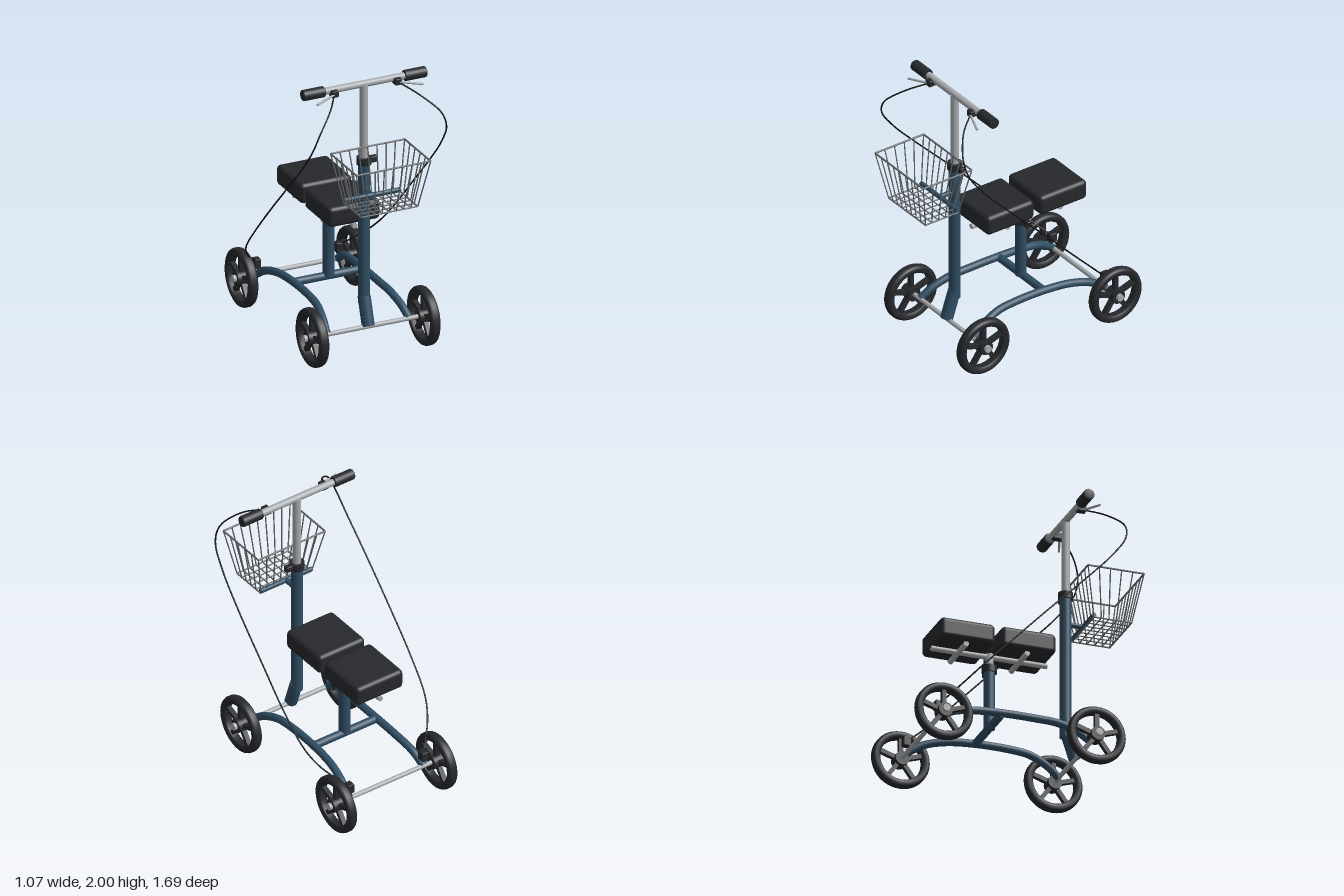
import * as THREE from 'three';
import { RoundedBoxGeometry } from 'three/addons/geometries/RoundedBoxGeometry.js';

const paint = (color) => new THREE.MeshStandardMaterial({ color });
const BLUE = paint(0x2f4d63), DARK = paint(0x26282c), SILVER = paint(0xa8abae);
const CABLE = paint(0x151617), WIRE = paint(0x66696c);
const V = (x, y, z) => new THREE.Vector3(x, y, z);

function add(parent, name, geometry, material) {
  const mesh = new THREE.Mesh(geometry, material);
  mesh.name = name;
  parent.add(mesh);
  return mesh;
}

// Straight round bar between two points
function rod(parent, name, a, b, r, material, sides = 24) {
  const mesh = add(parent, name, new THREE.CylinderGeometry(r, r, a.distanceTo(b), sides), material);
  mesh.position.copy(a).add(b).multiplyScalar(0.5);
  mesh.quaternion.setFromUnitVectors(V(0, 1, 0), b.clone().sub(a).normalize());
  return mesh;
}

function block(parent, name, w, h, d, r, pos, material) {
  const mesh = add(parent, name, new RoundedBoxGeometry(w, h, d, 4, r), material);
  mesh.position.copy(pos);
  return mesh;
}

function tube(parent, name, points, r, material, steps, sides) {
  const curve = new THREE.CatmullRomCurve3(points);
  return add(parent, name, new THREE.TubeGeometry(curve, steps, r, sides), material);
}

// Wheel spinning about x: tyre, five spokes, hub
function makeWheel() {
  const wheel = new THREE.Group();
  wheel.name = 'wheel';
  const profile = [[0.152, -0.024], [0.165, -0.034], [0.185, -0.036], [0.198, -0.029], [0.205, -0.014],
    [0.205, 0.014], [0.198, 0.029], [0.185, 0.036], [0.165, 0.034], [0.152, 0.024], [0.152, -0.024]];
  const tyre = add(wheel, 'tyre',
    new THREE.LatheGeometry(profile.map(([r, y]) => new THREE.Vector2(r, y)), 48), DARK);
  tyre.rotation.z = Math.PI / 2;
  for (let i = 0; i < 5; i++) {
    const a = (i / 5) * Math.PI * 2;
    const spoke = add(wheel, 'spoke', new THREE.BoxGeometry(0.034, 0.13, 0.03), DARK);
    spoke.position.set(0, Math.cos(a) * 0.1, Math.sin(a) * 0.1);
    spoke.rotation.x = a;
  }
  rod(wheel, 'hub', V(-0.045, 0, 0), V(0.045, 0, 0), 0.05, DARK, 32);
  return wheel;
}

// Clamp ring with a side knob
function addClamp(parent, y, z) {
  rod(parent, 'clampCollar', V(0, y - 0.025, z), V(0, y + 0.025, z), 0.051, DARK, 32);
  block(parent, 'clampKnob', 0.06, 0.045, 0.04, 0.008, V(0.065, y, z), DARK);
}

// Wire basket: tapered walls and a grid floor
function makeBasket() {
  const basket = new THREE.Group();
  basket.name = 'basket';
  const nx = 8, nz = 5, r = 0.0045;
  const at = (u, v, t) => { // u, v in -1..1 across the basket, t = 0 floor, 1 rim
    const hx = 0.21 + 0.065 * t, hz = 0.135 + 0.065 * t;
    return V(u * hx, 1.18 + 0.345 * t, 0.643 + v * hz);
  };
  const corners = [[-1, -1], [1, -1], [1, 1], [-1, 1]];
  corners.forEach(([u, v], i) => {
    const [p, q] = corners[(i + 1) % 4];
    rod(basket, 'rim', at(u, v, 1), at(p, q, 1), 0.0065, WIRE, 8);
    rod(basket, 'floorEdge', at(u, v, 0), at(p, q, 0), 0.0055, WIRE, 8);
  });
  for (let i = 0; i <= nx; i++) {
    const u = -1 + (2 * i) / nx;
    rod(basket, 'floorWire', at(u, -1, 0), at(u, 1, 0), r, WIRE, 6);
    for (const v of [-1, 1]) rod(basket, 'wallWire', at(u, v, 0), at(u, v, 1), r, WIRE, 6);
  }
  for (let i = 1; i < nz; i++) {
    const v = -1 + (2 * i) / nz;
    rod(basket, 'floorWire', at(-1, v, 0), at(1, v, 0), r, WIRE, 6);
    for (const u of [-1, 1]) rod(basket, 'wallWire', at(u, v, 0), at(u, v, 1), r, WIRE, 6);
  }
  return basket;
}

export function createModel() {
  const model = new THREE.Group();
  model.name = 'kneeScooter';
  const colZ = 0.385, postZ = -0.16;

  // Axles and wheels
  for (const z of [0.45, -0.64]) {
    rod(model, 'axle', V(-0.47, 0.21, z), V(0.47, 0.21, z), 0.016, SILVER);
    for (const s of [-1, 1]) {
      const wheel = makeWheel();
      wheel.position.set(s * 0.413, 0.208, z);
      model.add(wheel);
      rod(model, 'axleNut', V(s * 0.45, 0.21, z), V(s * 0.48, 0.21, z), 0.025, SILVER);
    }
  }

  // Frame
  rod(model, 'crossbar', V(-0.26, 0.335, -0.165), V(0.26, 0.335, -0.165), 0.028, BLUE);
  for (const s of [-1, 1]) {
    const rail = [[0.305, 0.21, 0.45], [0.29, 0.275, 0.36], [0.27, 0.325, 0.23], [0.26, 0.338, 0.08],
      [0.26, 0.338, -0.18], [0.27, 0.32, -0.38], [0.29, 0.28, -0.53], [0.305, 0.21, -0.64]];
    tube(model, 'sideRail', rail.map(([x, y, z]) => V(s * x, y, z)), 0.027, BLUE, 60, 20);
    block(model, 'brakeBlock', 0.05, 0.07, 0.055, 0.006, V(s * 0.305, 0.295, -0.637), DARK);
  }

  // Steering column, slanted foot and handlebar stem
  rod(model, 'columnFoot', V(0, 0.215, 0.452), V(0, 0.41, 0.388), 0.044, BLUE, 32);
  rod(model, 'steeringColumn', V(0, 0.36, colZ), V(0, 1.39, colZ), 0.04, BLUE, 32);
  addClamp(model, 1.4, colZ);
  rod(model, 'stem', V(0, 1.38, colZ), V(0, 1.96, colZ), 0.029, SILVER, 32);
  rod(model, 'handlebar', V(-0.4, 1.962, colZ), V(0.4, 1.962, colZ), 0.024, SILVER);

  // Grips, brake levers and cables
  const cable = [[0.235, 1.945, 0.42], [0.33, 1.885, 0.55], [0.45, 1.77, 0.64], [0.495, 1.66, 0.63],
    [0.515, 1.5, 0.52], [0.525, 1.3, 0.335], [0.527, 1.0, 0.04], [0.523, 0.75, -0.2],
    [0.5, 0.56, -0.385], [0.45, 0.455, -0.485], [0.38, 0.375, -0.565], [0.305, 0.31, -0.635]];
  for (const s of [-1, 1]) {
    const gripProfile = [[0, 0], [0.034, 0], [0.038, 0.006], [0.038, 0.154], [0.034, 0.16], [0, 0.16]];
    const grip = add(model, 'grip',
      new THREE.LatheGeometry(gripProfile.map(([r, y]) => new THREE.Vector2(r, y)), 32), DARK);
    grip.rotation.z = -s * Math.PI / 2;
    grip.position.set(s * 0.297, 1.962, colZ);
    block(model, 'leverMount', 0.05, 0.045, 0.06, 0.006, V(s * 0.235, 1.948, 0.41), DARK);
    rod(model, 'brakeLever', V(s * 0.235, 1.947, 0.43), V(s * 0.395, 1.922, 0.485), 0.008, SILVER, 12);
    tube(model, 'brakeCable', cable.map(([x, y, z]) => V(s * x, y, z)), 0.0055, CABLE, 120, 8);
  }

  // Basket and its bracket
  model.add(makeBasket());
  rod(model, 'basketArm', V(0, 1.197, colZ), V(0, 1.197, 0.51), 0.018, BLUE);
  rod(model, 'basketBar', V(-0.21, 1.197, 0.51), V(0.21, 1.197, 0.51), 0.016, BLUE);

  // Seat post and knee pads
  rod(model, 'seatPost', V(0, 0.335, postZ), V(0, 0.76, postZ), 0.04, BLUE, 32);
  addClamp(model, 0.77, postZ);
  rod(model, 'innerPost', V(0, 0.74, postZ), V(0, 0.885, postZ), 0.028, SILVER);
  rod(model, 'seatRail', V(0, 0.864, 0.25), V(0, 0.864, -0.575), 0.019, SILVER);
  for (const z of [0.055, -0.38]) {
    rod(model, 'seatCrossTube', V(-0.155, 0.864, z), V(0.155, 0.864, z), 0.019, SILVER);
    block(model, 'kneePad', 0.385, 0.145, 0.39, 0.032, V(0, 0.95, z), DARK);
  }
  return model;
}
